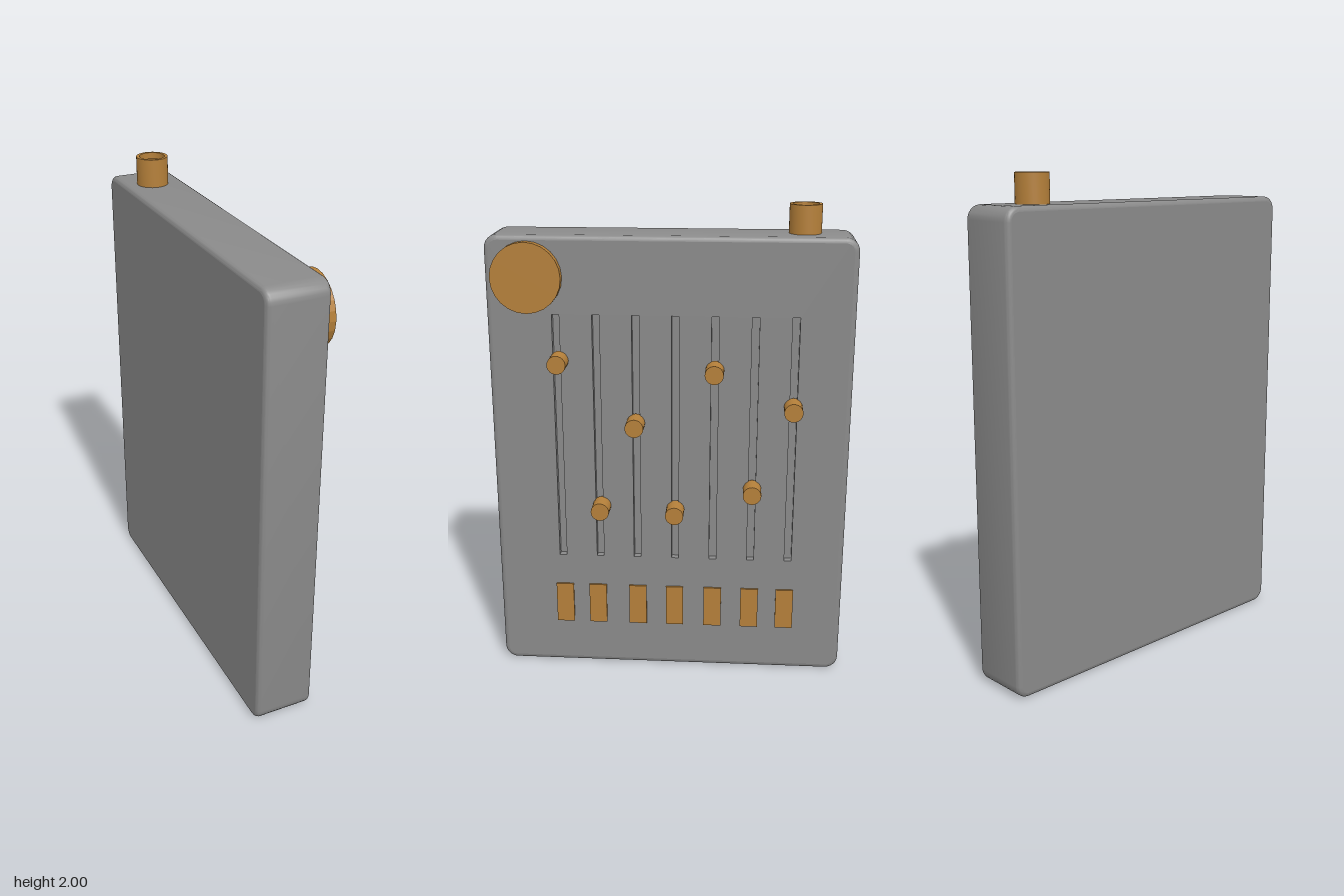
import * as THREE from 'three';
import { toCreasedNormals } from 'three/addons/utils/BufferGeometryUtils.js';

const HALF_W = 0.738, HEIGHT = 1.885, BACK = -0.165, FRONT = 0.083;
const CORNER = 0.055, EDGE = 0.02, SLOT_DEPTH = 0.03;

const grey = new THREE.MeshStandardMaterial({ color: 0x8a8a8a });
const amber = new THREE.MeshStandardMaterial({ color: 0xb5803a });
const amberFlat = new THREE.MeshStandardMaterial({ color: 0xb5803a, flatShading: true });

// Rounded outline of the case, drawn in (-z, y)
function outline(inset) {
  const r = CORNER - inset, w = HALF_W - CORNER, pts = [];
  const corners = [[w, HEIGHT - CORNER], [-w, HEIGHT - CORNER], [-w, CORNER], [w, CORNER]];
  corners.forEach(([cx, cy], k) => {
    for (let i = 0; i <= 6; i++) {
      const a = (k + i / 6) * Math.PI / 2;
      pts.push(new THREE.Vector2(cx + r * Math.cos(a), cy + r * Math.sin(a)));
    }
  });
  return pts;
}

// Case wall: outline rings swept from back to front with rounded edges
function wallGeometry() {
  const sections = [], n = 5;
  for (let i = 0; i <= n; i++) {
    const a = i / n * Math.PI / 2;
    sections.push([BACK + EDGE * (1 - Math.cos(a)), EDGE * (1 - Math.sin(a))]);
  }
  for (let i = n; i >= 0; i--) {
    const a = i / n * Math.PI / 2;
    sections.push([FRONT - EDGE * (1 - Math.cos(a)), EDGE * (1 - Math.sin(a))]);
  }
  const pos = [], idx = [];
  const m = outline(0).length;
  sections.forEach(([x, inset], s) => {
    outline(inset).forEach((p, j) => {
      pos.push(x, p.y, -p.x);
      if (s === sections.length - 1) return;
      const a = s * m + j, b = s * m + (j + 1) % m;
      idx.push(a, b, b + m, a, b + m, a + m);
    });
  });
  const g = new THREE.BufferGeometry();
  g.setAttribute('position', new THREE.Float32BufferAttribute(pos, 3));
  g.setIndex(idx);
  return toCreasedNormals(g, 0.6);
}

export function createModel() {
  const model = new THREE.Group();
  const add = (name, geometry, material, x = 0, y = 0, z = 0) => {
    const mesh = new THREE.Mesh(geometry, material);
    mesh.name = name;
    mesh.position.set(x, y, z);
    model.add(mesh);
    return mesh;
  };
  // Cylinder lying along x, from x0 to x1
  const peg = (name, radius, x0, x1, y, z, sides, material) => {
    const g = new THREE.CylinderGeometry(radius, radius, x1 - x0, sides);
    g.rotateZ(-Math.PI / 2);
    return add(name, g, material, (x0 + x1) / 2, y, z);
  };

  // Case
  add('caseWall', wallGeometry(), grey);
  const back = new THREE.ShapeGeometry(new THREE.Shape(outline(EDGE)));
  back.rotateY(-Math.PI / 2);
  add('caseBack', back, grey, BACK);

  // Front panel with seven slots cut in
  const slotZ = [0.46, 0.298, 0.138, -0.023, -0.183, -0.344, -0.504];
  const panel = new THREE.Shape(outline(EDGE));
  const y0 = 0.515, y1 = 1.57, hw = 0.015;
  for (const z of slotZ) {
    panel.holes.push(new THREE.Path([
      new THREE.Vector2(-z - hw, y0), new THREE.Vector2(-z - hw, y1),
      new THREE.Vector2(-z + hw, y1), new THREE.Vector2(-z + hw, y0),
    ]));
  }
  const panelGeometry = new THREE.ExtrudeGeometry(panel, { depth: SLOT_DEPTH, bevelEnabled: false });
  panelGeometry.rotateY(Math.PI / 2);
  add('frontPanel', panelGeometry, grey, FRONT - SLOT_DEPTH);
  add('slotFloor', new THREE.BoxGeometry(0.02, 1.1, 1.06), grey,
    FRONT - SLOT_DEPTH - 0.01, (y0 + y1) / 2, -0.022);

  // Sliders, one per slot
  const sliders = [[0.45, 1.38], [0.287, 0.75], [0.14, 1.12], [-0.024, 0.74],
    [-0.183, 1.35], [-0.345, 0.84], [-0.503, 1.2]];
  for (const [z, y] of sliders) peg('slider', 0.038, 0.075, 0.162, y, z, 24, amber);

  // Row of buttons
  for (const z of [0.456, 0.312, 0.138, -0.021, -0.185, -0.344, -0.495]) {
    add('button', new THREE.BoxGeometry(0.03, 0.18, 0.075), amber, 0.077, 0.29, z);
  }

  // Large dial
  peg('dial', 0.142, 0.075, 0.118, 1.72, 0.57, 24, amberFlat);

  // Socket on the top, with a recessed mouth
  const profile = [[0.065, 1.86], [0.065, 2], [0.052, 2], [0.052, 1.975], [0, 1.975]]
    .map(([r, y]) => new THREE.Vector2(r, y));
  const socket = toCreasedNormals(new THREE.LatheGeometry(profile, 32), 0.6);
  add('topSocket', socket, amber, -0.05, 0, -0.53);

  return model;
}
